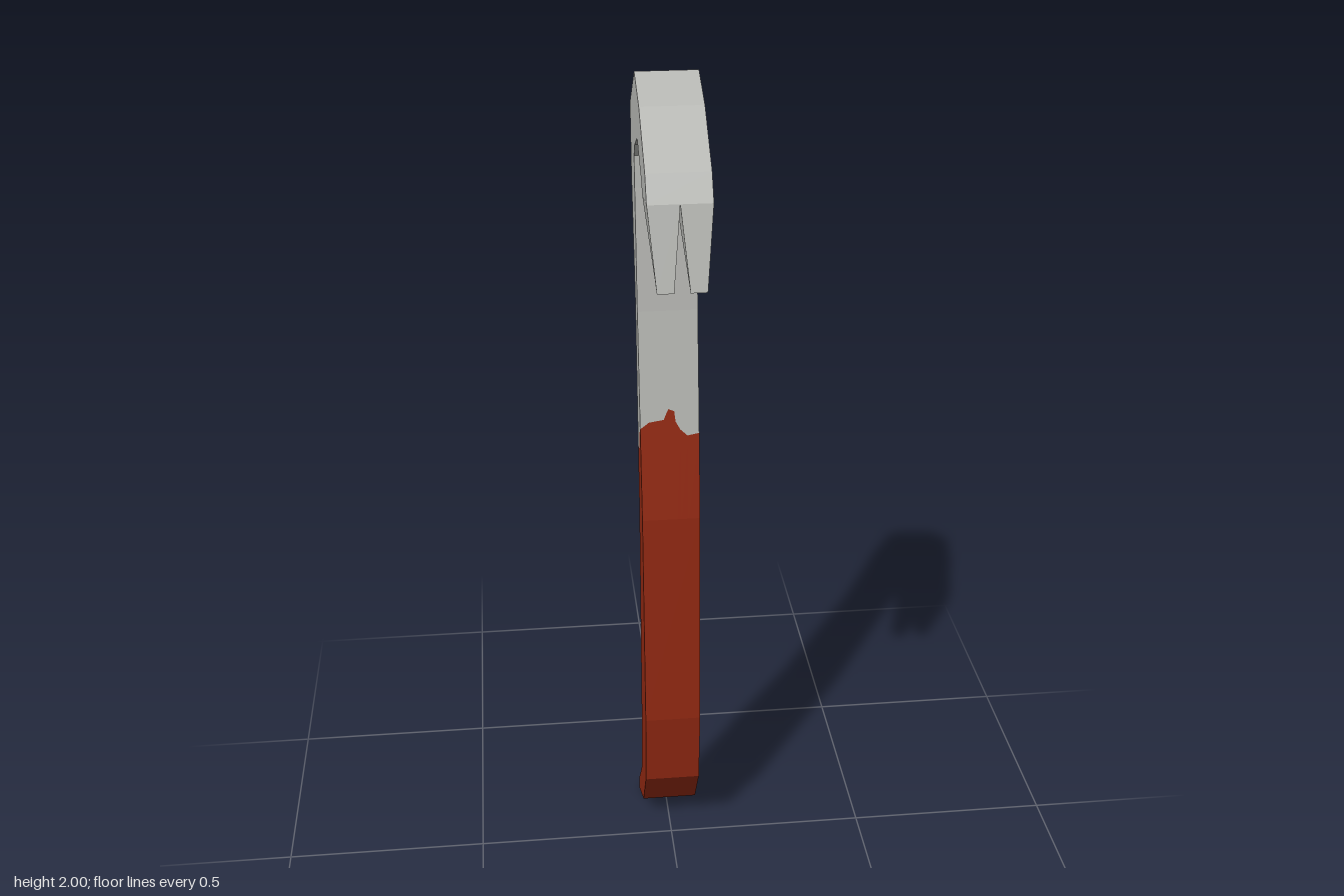
import * as THREE from 'three';

const W = 0.069; // half width of the bar

// Cross-sections: [concave z, y, convex z, y]
const HANDLE = [
  [-0.185, 0, -0.192, 0.03], [-0.055, 0.07, -0.105, 0.135], [0.025, 0.2, -0.08, 0.255],
  [0.04, 0.4, -0.083, 0.4], [0, 0.96, -0.085, 0.945],
];
const HOOK = [
  [-0.083, 1.46, -0.135, 1.46], [-0.118, 1.74, -0.205, 1.74], [-0.125, 1.81, -0.222, 1.9],
  [-0.105, 1.84, -0.162, 1.95], [-0.04, 1.875, -0.1, 2], [0.01, 1.842, 0.01, 1.955],
  [0.06, 1.81, 0.14, 1.855], [0.075, 1.789, 0.175, 1.8],
];
const TIP = [0.18, 1.64, 0.222, 1.625];

// Ragged paint edge on each face of the shaft: [fraction across, height]
const PAINT_EDGE = [
  [[0, 1.185], [0.1, 1.195], [0.15, 1.2], [0.4, 1.205], [0.43, 1.215], [0.48, 1.23], [0.58, 1.225],
    [0.6, 1.2], [0.68, 1.18], [0.8, 1.165], [1, 1.17]],
  [[0, 1.185], [0.35, 1.175], [0.4, 1.13], [0.5, 1.135], [0.6, 1.115], [0.8, 1.115], [0.85, 1.105], [1, 1.1]],
  [[0, 1.105], [0.2, 1.115], [0.27, 1.095], [0.4, 1.1], [0.5, 1.088], [0.6, 1.1], [1, 1.11]],
  [[0, 1.11], [0.5, 1.12], [0.6, 1.16], [1, 1.185]],
];

// Four corners of a section spanning x0 to x1
const ring = ([fz, fy, bz, by], x0 = -W, x1 = W) => [
  new THREE.Vector3(x0, fy, fz), new THREE.Vector3(x1, fy, fz),
  new THREE.Vector3(x1, by, bz), new THREE.Vector3(x0, by, bz),
];

function quad(out, a, b, c, d) {
  for (const p of [a, b, c, a, c, d]) out.push(p.x, p.y, p.z);
}

// Skin between consecutive rings
function loft(out, rings) {
  for (let i = 0; i + 1 < rings.length; i++) {
    const lo = rings[i], hi = rings[i + 1];
    for (let k = 0; k < 4; k++) {
      const n = (k + 1) % 4;
      quad(out, lo[k], lo[n], hi[n], hi[k]);
    }
  }
}

function makeMesh(name, positions, material) {
  const geo = new THREE.BufferGeometry();
  geo.setAttribute('position', new THREE.Float32BufferAttribute(positions, 3));
  geo.computeVertexNormals();
  const mesh = new THREE.Mesh(geo, material);
  mesh.name = name;
  return mesh;
}

export function createModel() {
  const red = new THREE.MeshStandardMaterial({ color: 0x922912 });
  red.name = 'red paint';
  const steel = new THREE.MeshStandardMaterial({ color: 0xb7b8b4 });
  steel.name = 'bare steel';

  // Painted handle with the flat pry end
  const handle = [];
  const handleRings = HANDLE.map((s) => ring(s));
  loft(handle, handleRings);
  quad(handle, ...handleRings[0].slice().reverse());

  // Bare hook
  const hook = [];
  const hookRings = HOOK.map((s) => ring(s));
  loft(hook, hookRings);

  // Shaft between the two, split along the ragged paint edge
  const lo = handleRings[handleRings.length - 1], hi = hookRings[0];
  PAINT_EDGE.forEach((edge, k) => {
    const n = (k + 1) % 4;
    const columns = edge.map(([u, y]) => {
      const bottom = lo[k].clone().lerp(lo[n], u);
      const top = hi[k].clone().lerp(hi[n], u);
      const middle = bottom.clone().lerp(top, (y - bottom.y) / (top.y - bottom.y));
      return { bottom, middle, top };
    });
    for (let i = 0; i + 1 < columns.length; i++) {
      const a = columns[i], b = columns[i + 1];
      quad(handle, a.bottom, b.bottom, b.middle, a.middle);
      quad(hook, a.middle, b.middle, b.top, a.top);
    }
  });

  const group = new THREE.Group();
  group.name = 'crowbar';
  group.add(makeMesh('paintedHandle', handle, red), makeMesh('steelHook', hook, steel));

  // Two tapering claws with a V notch between them
  const base = HOOK[HOOK.length - 1];
  for (const [name, b0, b1, t0, t1] of [
    ['leftClaw', 0, W, 0.017, 0.053],
    ['rightClaw', -W, 0, -0.053, -0.017],
  ]) {
    const claw = [];
    const tip = ring(TIP, t0, t1);
    loft(claw, [ring(base, b0, b1), tip]);
    quad(claw, ...tip);
    group.add(makeMesh(name, claw, steel));
  }
  return group;
}
